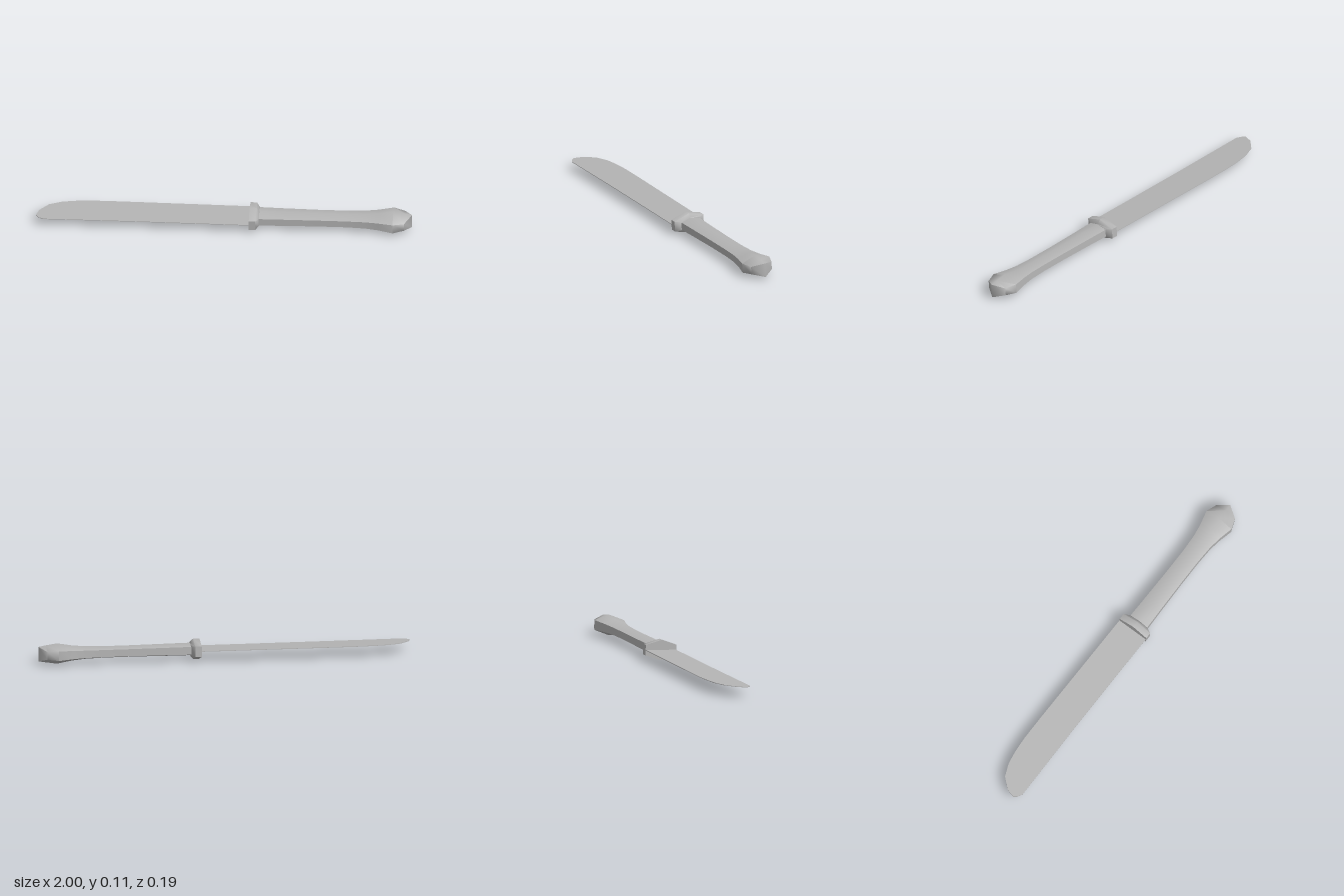
import * as THREE from 'three';
import { toCreasedNormals } from 'three/addons/utils/BufferGeometryUtils.js';

// Hexagonal ring: ridge above and below (a), upright side walls (half width w, half height s)
const ring = ([x, w, a, s]) =>
  [[a, 0], [s, w], [-s, w], [-a, 0], [-s, -w], [s, -w]].map(([y, z]) => new THREE.Vector3(x, y, z));

// Skin a row of rings along x, close the ends, keep sharp edges
function loft(sections, crease) {
  const rings = sections.map(ring);
  const points = [];
  const tri = (a, b, c) => {
    if (new THREE.Triangle(a, b, c).getArea() > 1e-7) points.push(a, b, c);
  };
  for (let i = 0; i < rings.length - 1; i++) {
    const p = rings[i], q = rings[i + 1];
    for (let j = 0; j < 6; j++) {
      const k = (j + 1) % 6;
      tri(p[j], p[k], q[k]);
      tri(p[j], q[k], q[j]);
    }
  }
  const first = rings[0], last = rings[rings.length - 1];
  for (let j = 1; j < 5; j++) {
    tri(first[0], first[j + 1], first[j]);
    tri(last[0], last[j], last[j + 1]);
  }
  const geometry = new THREE.BufferGeometry().setFromPoints(points);
  return toCreasedNormals(geometry, crease);
}

export function createModel() {
  const steel = new THREE.MeshStandardMaterial({ color: 0xb4b4b4 });
  steel.name = 'steel grey';

  const knife = new THREE.Group();
  knife.name = 'knife';
  const add = (name, geometry) => {
    const mesh = new THREE.Mesh(geometry, steel);
    mesh.name = name;
    knife.add(mesh);
  };

  // Blade: thin plate with a curved spine and rounded tip
  const outline = [
    [0.15, 0.086], [-0.1, 0.084], [-0.5, 0.082], [-0.96, 0.084], [-0.985, 0.07],
    [-1, 0.052], [-0.985, 0.005], [-0.935, -0.05], [-0.865, -0.078], [-0.79, -0.09],
    [-0.7, -0.096], [-0.55, -0.096], [-0.2, -0.092], [0.15, -0.088],
  ].map(([x, z]) => new THREE.Vector2(x, z));
  const blade = new THREE.ExtrudeGeometry(new THREE.Shape(outline), { depth: 0.003, bevelEnabled: false });
  blade.rotateX(Math.PI / 2).translate(0, 0.0015, 0);
  add('blade', blade);

  // Guard: hexagonal collar bevelled towards the handle
  add('guard', loft([
    [0.135, 0.088, 0.055, 0.028],
    [0.17, 0.088, 0.055, 0.028],
    [0.187, 0.055, 0.035, 0.022],
  ], 0.9));

  // Handle: waisted grip swelling into a wedge-ended pommel
  add('handle', loft([
    [0.17, 0.056, 0.034, 0.021],
    [0.3, 0.053, 0.033, 0.02],
    [0.5, 0.05, 0.031, 0.019],
    [0.65, 0.05, 0.031, 0.019],
    [0.75, 0.054, 0.034, 0.02],
    [0.82, 0.064, 0.041, 0.022],
    [0.9, 0.083, 0.055, 0.026],
    [0.96, 0.062, 0.046, 0.021],
    [1, 0, 0.039, 0.039],
  ], 1.2));

  // Rests with a slight roll
  knife.rotation.x = 0.063;
  knife.position.y = 0.056;

  const model = new THREE.Group();
  model.name = 'tableKnife';
  model.add(knife);
  return model;
}
